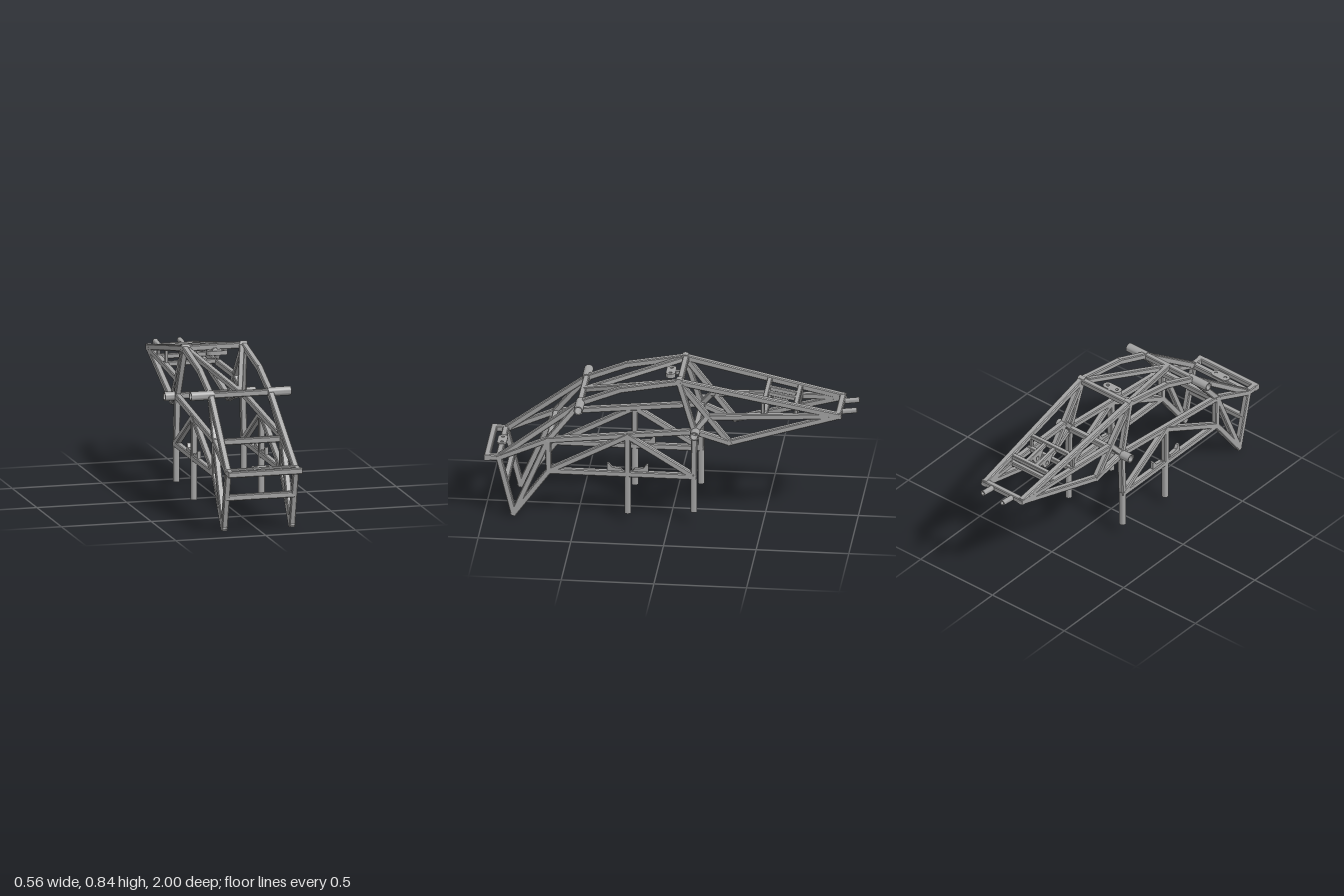
import * as THREE from 'three';
import { toCreasedNormals } from 'three/addons/utils/BufferGeometryUtils.js';

export function createModel() {
  const model = new THREE.Group();
  model.name = 'tubularFrame';
  const steel = new THREE.MeshStandardMaterial({ color: 0xa3a3a3 });
  steel.name = 'grey steel';

  const add = (name, geometry) => {
    const mesh = new THREE.Mesh(geometry, steel);
    mesh.name = name;
    model.add(mesh);
    return mesh;
  };

  // Square tube with softened corners between two points
  const beam = (name, a, b, size = 0.033, extra = 0.01) => {
    const p = new THREE.Vector3(...a), q = new THREE.Vector3(...b);
    const dir = q.clone().sub(p), length = dir.length() + extra * 2;
    dir.normalize();
    const h = size / 2, c = h * 0.72;
    const section = new THREE.Shape([
      [c, -h], [h, -c], [h, c], [c, h], [-c, h], [-h, c], [-h, -c], [-c, -h],
    ].map(([x, y]) => new THREE.Vector2(x, y)));
    const geometry = new THREE.ExtrudeGeometry(section, { depth: length, bevelEnabled: false });
    const side = Math.abs(dir.x) > 0.9 ? new THREE.Vector3(0, 0, 1) : new THREE.Vector3(1, 0, 0);
    side.addScaledVector(dir, -side.dot(dir)).normalize();
    const up = dir.clone().cross(side);
    const m = new THREE.Matrix4().makeBasis(side, up, dir);
    m.setPosition(p.addScaledVector(dir, -extra));
    return add(name, geometry.applyMatrix4(m));
  };

  // Hollow round tube between two points
  const pipe = (name, a, b, radius, wall = 0.006) => {
    const p = new THREE.Vector3(...a), dir = new THREE.Vector3(...b).sub(p);
    const length = dir.length(), inner = radius - wall;
    const profile = [[inner, 0], [radius, 0], [radius, length], [inner, length], [inner, 0]]
      .map(([x, y]) => new THREE.Vector2(x, y));
    const mesh = add(name, toCreasedNormals(new THREE.LatheGeometry(profile, 24), 0.6));
    mesh.position.copy(p);
    mesh.quaternion.setFromUnitVectors(new THREE.Vector3(0, 1, 0), dir.normalize());
    return mesh;
  };

  // Frame joints on the left side
  const J = {
    nose: [0.188, 0.34, 0.92], foot: [0.188, 0.017, 0.84],
    shoulder: [0.188, 0.455, 0.655], lowFront: [0.188, 0.275, 0.65],
    brow: [0.165, 0.67, 0.483], bend: [0.165, 0.757, 0.265], peak: [0.165, 0.815, -0.05],
    railMid: [0.188, 0.497, 0.225], lowMid: [0.188, 0.275, 0.225],
    pivot: [0.182, 0.537, -0.135], lowRear: [0.188, 0.275, -0.132],
    knee: [0.16, 0.615, -0.2], heel: [0.157, 0.47, -0.32], tail: [0.127, 0.64, -0.91],
  };
  const sideMembers = [
    ['noseStrut', 'nose', 'foot'], ['noseRail', 'nose', 'brow'], ['noseBrace', 'nose', 'shoulder'],
    ['footStrut', 'foot', 'shoulder'], ['footBrace', 'foot', 'lowFront'],
    ['shoulderPost', 'shoulder', 'lowFront'], ['browStrut', 'shoulder', 'brow'],
    ['sideRail', 'shoulder', 'pivot'], ['lowerRail', 'lowFront', 'lowRear'],
    ['frontDiagonal', 'lowFront', 'railMid'], ['middlePost', 'railMid', 'lowMid'],
    ['rearDiagonal', 'railMid', 'lowRear'], ['rearPost', 'pivot', 'lowRear'],
    ['roofRailFront', 'brow', 'bend'], ['roofRailRear', 'bend', 'peak'],
    ['peakPost', 'peak', 'pivot'], ['peakDiagonal', 'peak', 'heel'],
    ['kneeBrace', 'pivot', 'knee'], ['heelBrace', 'pivot', 'heel'],
    ['upperTailRail', 'peak', 'tail'], ['middleTailRail', 'knee', 'tail'],
    ['lowerTailRail', 'heel', 'tail'],
  ];

  // Footrest bracket outline: x runs along the rail away from the middle post
  const bracket = new THREE.Shape([
    [0.02, 0.285], [0.035, 0.305], [0.085, 0.312], [0.1, 0.333], [0.112, 0.333], [0.112, 0.285],
  ].map(([x, y]) => new THREE.Vector2(x, y)));

  for (const s of [1, -1]) {
    const at = ([x, y, z]) => [x * s, y, z];
    for (const [name, a, b] of sideMembers) beam(name, at(J[a]), at(J[b]));
    beam('bumperSide', at(J.nose), at([0.188, 0.34, 0.983]));

    // Round legs, axle stubs and tail tubes
    pipe('middleLeg', at([0.188, 0.045, 0.225]), at([0.188, 0.285, 0.225]), 0.018);
    pipe('rearLeg', at([0.188, 0.068, -0.132]), at([0.188, 0.285, -0.132]), 0.018);
    pipe('browStub', at([0.15, 0.67, 0.483]), at([0.278, 0.67, 0.483]), 0.025);
    pipe('pivotStub', at([0.16, 0.537, -0.14]), at([0.253, 0.537, -0.14]), 0.025);
    pipe('peakCap', at([0.14, 0.818, -0.05]), at([0.182, 0.818, -0.05]), 0.02, 0.012);
    pipe('tailTube', at([0.068, 0.637, -0.9]), at([0.068, 0.65, -1]), 0.015);

    // Roof V brace
    beam('roofBrace', at([0.155, 0.812, -0.05]), [0, 0.675, 0.475], 0.03, 0);

    // Tail cradle with hanging mount plates
    beam('cradleRail', at([0.033, 0.717, -0.51]), at([0.033, 0.686, -0.675]), 0.024, 0);
    beam('cradlePostFront', at([0.143, 0.715, -0.5]), at([0.143, 0.63, -0.5]), 0.018, 0);
    beam('cradlePostRear', at([0.137, 0.685, -0.68]), at([0.137, 0.64, -0.68]), 0.018, 0);
    const plate = new THREE.Shape([[-0.05, 0.035], [-0.02, -0.018], [0.02, -0.018], [0.05, 0.035]]
      .map(([x, y]) => new THREE.Vector2(x, y)));
    plate.holes.push(new THREE.Path().absarc(0, 0.004, 0.012, 0, Math.PI * 2, true));
    const mount = add('cradleMount', new THREE.ExtrudeGeometry(plate, { depth: 0.018, bevelEnabled: false }));
    mount.rotation.y = Math.PI / 2;
    mount.position.set(0.033 * s - 0.009, 0.665, -0.59);

    // Footrest brackets on both sides of the middle post
    for (const turn of [1, -1]) {
      const part = add('footrestBracket', new THREE.ExtrudeGeometry(bracket, { depth: 0.02, bevelEnabled: false }));
      part.rotation.y = turn * Math.PI / 2;
      part.position.set(0.188 * s - turn * 0.01, 0, 0.225);
    }
  }

  // Cross members: half width, height, depth position
  const crossbars = [
    ['bumperBar', 0.195, 0.34, 0.983], ['noseBar', 0.178, 0.34, 0.92], ['footBar', 0.18, 0.192, 0.884],
    ['shoulderBar', 0.18, 0.447, 0.65], ['browBar', 0.16, 0.67, 0.483], ['pivotBar', 0.17, 0.537, -0.14],
    ['peakBar', 0.16, 0.815, -0.055], ['cradleBarFront', 0.145, 0.719, -0.51],
    ['cradleBarRear', 0.137, 0.686, -0.675], ['cradleLowBarFront', 0.145, 0.633, -0.51],
    ['cradleLowBarRear', 0.137, 0.638, -0.675], ['tailBar', 0.133, 0.64, -0.905],
  ];
  for (const [name, w, y, z] of crossbars) beam(name, [-w, y, z], [w, y, z], name.startsWith('cradle') ? 0.027 : 0.033);

  // Rounded mounting plates with two bolt holes
  const boltPlate = (name, y, z, depth) => {
    const shape = new THREE.Shape();
    shape.absarc(0.032, 0, 0.026, -Math.PI / 2, Math.PI / 2, false);
    shape.absarc(-0.032, 0, 0.026, Math.PI / 2, Math.PI * 1.5, false);
    for (const x of [-0.032, 0.032]) shape.holes.push(new THREE.Path().absarc(x, 0, 0.009, 0, Math.PI * 2, true));
    const geometry = new THREE.ExtrudeGeometry(shape, { depth, bevelEnabled: false, curveSegments: 12 });
    const mesh = add(name, toCreasedNormals(geometry, 0.6));
    mesh.rotation.x = -Math.PI / 2;
    mesh.position.set(0, y, z);
  };
  boltPlate('nosePlate', 0.352, 0.92, 0.009);
  boltPlate('roofPlate', 0.785, 0.01, 0.024);
  beam('roofPlateArm', [0, 0.8, -0.05], [0, 0.795, 0], 0.024, 0);
  const boss = add('roofPlateBoss', new THREE.CylinderGeometry(0.02, 0.012, 0.022, 12));
  boss.position.set(0, 0.776, 0.01);

  return model;
}
